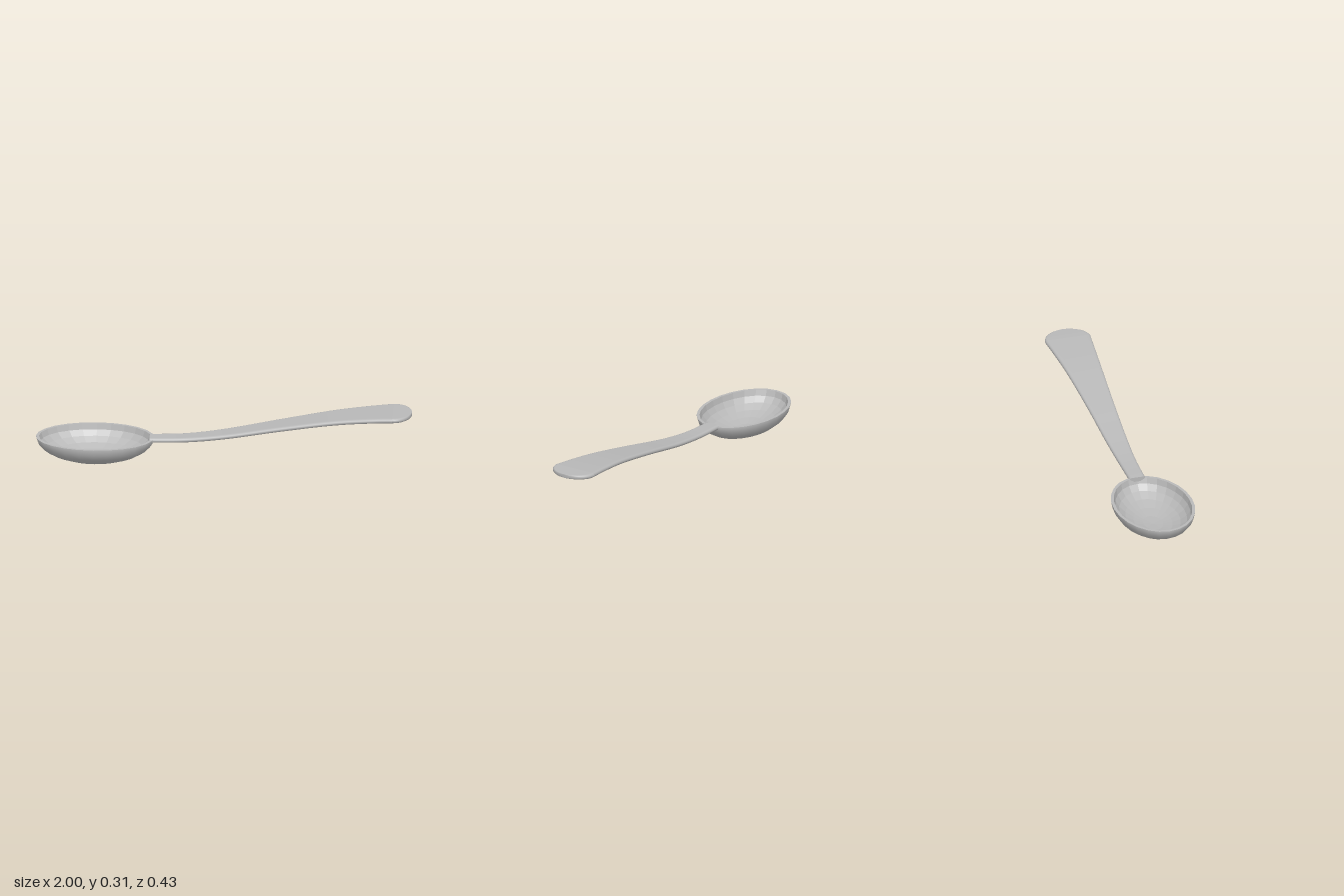
import * as THREE from 'three';

const SEGMENTS = 24;
const OUTER = { x: 0.315, y: 0.135, z: 0.215 };
const INNER = { x: 0.299, y: 0.12, z: 0.199 };

// Rounded bar cross-section in (z, y), counter-clockwise seen from -x
function section(halfWidth, halfHeight) {
  const r = Math.min(halfWidth, halfHeight);
  const flat = halfWidth - r;
  const points = [];
  for (const side of [1, -1]) {
    for (let k = 0; k <= 6; k++) {
      const a = -Math.PI / 2 + (k / 6) * Math.PI;
      points.push([side * (flat + r * Math.cos(a)), side * halfHeight * Math.sin(a)]);
    }
    for (const f of [0.9, 0, -0.9]) points.push([side * flat * f, side * halfHeight]);
  }
  return points;
}

// Closed loft through stations [x, y, halfWidth, halfHeight]
function loft(stations) {
  const rings = stations.map(([x, y, w, h]) =>
    section(w, h).map(([z, dy]) => [x, y + dy, z]));
  const n = rings[0].length;
  const last = rings.length;
  const index = [];
  for (let i = 0; i < last - 1; i++) {
    for (let j = 0; j < n; j++) {
      const a = i * n + j, b = i * n + (j + 1) % n;
      index.push(a, a + n, b, b, a + n, b + n);
    }
  }
  // End caps use their own rings so the edges stay crisp
  const s = last * n, e = s + n;
  for (let j = 1; j < n - 1; j++) {
    index.push(s, s + j, s + j + 1, e, e + j + 1, e + j);
  }
  const all = [...rings, rings[0], rings[last - 1]];
  const geometry = new THREE.BufferGeometry();
  geometry.setAttribute('position', new THREE.Float32BufferAttribute(all.flat(2), 3));
  geometry.setIndex(index);
  geometry.computeVertexNormals();
  return geometry;
}

const halfSphere = () =>
  new THREE.SphereGeometry(1, SEGMENTS, 6, 0, Math.PI * 2, Math.PI / 2, Math.PI / 2);

export function createModel() {
  const model = new THREE.Group();
  model.name = 'spoon';
  const metal = new THREE.MeshStandardMaterial({ color: 0xb8b8b8 });
  metal.name = 'grey metal';

  const add = (name, geometry, parent) => {
    const mesh = new THREE.Mesh(geometry, metal);
    mesh.name = name;
    parent.add(mesh);
  };

  // Bowl: smooth outside, faceted inside, flat rim
  const bowl = new THREE.Group();
  bowl.name = 'bowl';
  bowl.position.set(-0.685, OUTER.y, 0);
  model.add(bowl);

  add('bowlOutside', halfSphere().scale(OUTER.x, OUTER.y, OUTER.z), bowl);

  // Mirroring in z turns the faces inward
  const inside = halfSphere().scale(INNER.x, INNER.y, -INNER.z).toNonIndexed();
  inside.computeVertexNormals();
  add('bowlInside', inside, bowl);

  const rim = new THREE.RingGeometry(1, 2, SEGMENTS, 1).rotateX(-Math.PI / 2);
  const p = rim.attributes.position;
  for (let i = 0; i < p.count; i++) {
    const r = Math.hypot(p.getX(i), p.getZ(i));
    const size = r > 1.5 ? OUTER : INNER;
    p.setXYZ(i, p.getX(i) / r * size.x, 0, p.getZ(i) / r * size.z);
  }
  add('bowlRim', rim, bowl);

  // Handle: curve carries x, centre height and half width
  const path = new THREE.CatmullRomCurve3([
    [-0.395, 0.13, 0.044], [-0.2, 0.137, 0.048], [0, 0.161, 0.058],
    [0.3, 0.216, 0.075], [0.6, 0.266, 0.097], [0.8, 0.287, 0.115], [0.9, 0.294, 0.125],
  ].map((v) => new THREE.Vector3(...v)));
  const handle = path.getPoints(36).map((v) => [v.x, v.y, v.z, 0.0125]);
  add('handle', loft(handle), model);

  // Rounded tip
  const tip = [];
  for (let i = 0; i <= 12; i++) {
    const a = (i / 12) * Math.PI / 2;
    const s = Math.sin(a);
    tip.push([0.9 + 0.1 * s, 0.294 + 0.001 * s,
      Math.max(0.125 * Math.cos(a), 0.002), 0.0125 - 0.0025 * s * s]);
  }
  add('handleTip', loft(tip), model);

  return model;
}
